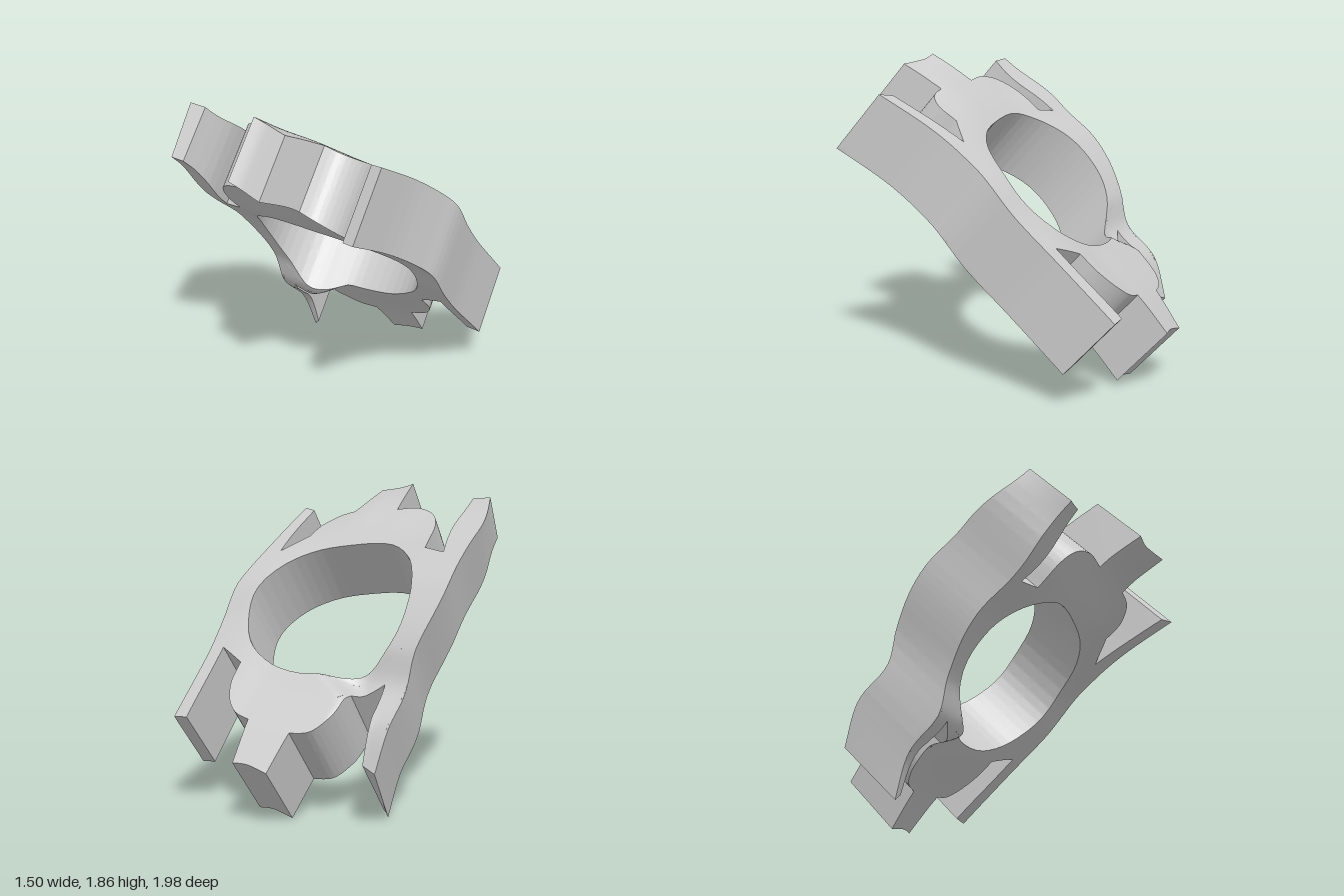
import * as THREE from 'three';
import { toCreasedNormals } from 'three/addons/utils/BufferGeometryUtils.js';

const { smoothstep, lerp } = THREE.MathUtils;

// Outline in the plate's own plane (x across, u along). Each run is a smooth
// curve; the runs meet in sharp corners.
const RUNS = [
  [[-0.01, 1.145], [0.06, 1.125], [0.12, 1.125], [0.235, 1.135]],             // upper tab end
  [[0.235, 1.135], [0.26, 0.83]],
  [[0.26, 0.83], [0.36, 0.79], [0.43, 0.68], [0.44, 0.55]],                   // upper lobe
  [[0.44, 0.55], [0.57, 0.38]],
  [[0.57, 0.38], [0.6, 0.6], [0.63, 0.87]],                                   // left bar, upper
  [[0.63, 0.87], [0.72, 0.9]],
  [[0.72, 0.9], [0.69, 0.5], [0.695, 0.2], [0.7, 0], [0.655, -0.25], [0.61, -0.5], [0.56, -0.95]],
  [[0.56, -0.95], [0.47, -0.94]],
  [[0.47, -0.94], [0.53, -0.42]],                                             // left bar, lower
  [[0.53, -0.42], [0.35, -0.5]],
  [[0.35, -0.5], [0.33, -0.64], [0.27, -0.76], [0.19, -0.83], [0.09, -0.85]], // lower lobe
  [[0.09, -0.85], [0.05, -1.12]],
  [[0.05, -1.12], [-0.04, -1.105], [-0.17, -1.12]],                           // lower tab end
  [[-0.17, -1.12], [-0.19, -0.865]],
  [[-0.19, -0.865], [-0.31, -0.82], [-0.38, -0.68], [-0.39, -0.51]],
  [[-0.39, -0.51], [-0.53, -0.37]],
  [[-0.53, -0.37], [-0.56, -0.6], [-0.585, -0.84]],                           // right bar, lower
  [[-0.585, -0.84], [-0.675, -0.87]],
  [[-0.675, -0.87], [-0.69, -0.55], [-0.67, -0.25], [-0.71, 0.02], [-0.72, 0.2], [-0.7, 0.45], [-0.7, 0.75], [-0.635, 1.01]],
  [[-0.635, 1.01], [-0.52, 1.0]],
  [[-0.52, 1.0], [-0.51, 0.75], [-0.56, 0.49]],                               // right bar, upper
  [[-0.56, 0.49], [-0.42, 0.52]],
  [[-0.42, 0.52], [-0.4, 0.7], [-0.33, 0.82], [-0.2, 0.87], [-0.055, 0.85]],
  [[-0.055, 0.85], [-0.01, 1.145]],
];

// Round opening with one flattened side, counter-clockwise
const HOLE = [
  [0.45, 0.26], [0.3, 0.41], [0.1, 0.49], [-0.18, 0.53], [-0.34, 0.44], [-0.45, 0.28],
  [-0.51, 0.1], [-0.515, -0.12], [-0.41, -0.32], [-0.26, -0.41], [-0.1, -0.47], [0.13, -0.465],
  [0.34, -0.37], [0.47, -0.2], [0.53, 0],
];

// Smooth curve of a value along u, through [u, value]
const profile = (points) => {
  const curve = new THREE.CubicInterpolant(points.map((p) => p[0]), points.map((p) => p[1]), 1, [0]);
  return (u) => curve.evaluate(u)[0];
};

// Height of the curved mid-surface at both sides and the middle, and its sideways slope there
const rightSide = profile([[-0.88, -0.255], [-0.64, -0.13], [-0.36, -0.11], [-0.18, 0], [0.2, 0.09], [0.5, 0.08], [1.0, 0.08]]);
const middle = profile([[-1.13, 0.005], [-0.86, 0.04], [-0.48, 0.045], [0, 0.08], [0.5, 0.09], [0.86, 0.09], [1.15, 0.038]]);
const leftSide = profile([[-0.95, 0.11], [-0.2, 0.13], [0.07, 0.165], [0.3, 0.145], [0.55, 0.1], [0.9, 0.01]]);
const tilt = profile([[-1.13, 0.2], [-0.5, 0.13], [0.1, 0.08], [0.55, 0.06], [0.85, 0], [1.14, -0.22]]);

function bend(x, u) {
  const centre = middle(u) + tilt(u) * x;
  if (x > 0) return lerp(centre, leftSide(u), smoothstep(x, 0.12, 0.6));
  const ring = smoothstep(u, -0.6, -0.4);
  return lerp(centre, rightSide(u), smoothstep(-x, lerp(0.35, 0.1, ring), lerp(0.6, 0.43, ring)));
}

// The upper lobe, tab and right bar thin out towards their ends
function thickness(x, u) {
  const loss = x < -0.45 ? 0.1 : x < 0.5 ? 0.06 : 0;
  return 0.44 - loss * smoothstep(u, 0.55, 0.95);
}

// Split the longest edge of every triangle until it is short enough to bend
function refine(geometry, maxEdge) {
  const pos = geometry.attributes.position, out = [], stack = [];
  const point = (i) => new THREE.Vector3().fromBufferAttribute(pos, i);
  for (let i = 0; i < pos.count; i += 3) stack.push([point(i), point(i + 1), point(i + 2)]);
  while (stack.length) {
    const [a, b, c] = stack.pop();
    const ab = a.distanceTo(b), bc = b.distanceTo(c), ca = c.distanceTo(a);
    const longest = Math.max(ab, bc, ca);
    if (longest <= maxEdge) {
      for (const p of [a, b, c]) out.push(p.x, p.y, p.z);
      continue;
    }
    const [p, q, r] = longest === ab ? [a, b, c] : longest === bc ? [b, c, a] : [c, a, b];
    const m = p.clone().add(q).multiplyScalar(0.5);
    stack.push([p, m, r], [m, q, r]);
  }
  const fine = new THREE.BufferGeometry();
  fine.setAttribute('position', new THREE.Float32BufferAttribute(out, 3));
  return fine;
}

export function createModel() {
  const outline = [];
  for (const run of RUNS) {
    const steps = run.length === 2 ? 1 : (run.length - 1) * 4;
    const curve = new THREE.SplineCurve(run.map(([x, u]) => new THREE.Vector2(x, u)));
    outline.push(...curve.getPoints(steps).slice(0, -1));
  }
  const shape = new THREE.Shape(outline);
  const loop = new THREE.CatmullRomCurve3(HOLE.map(([x, u]) => new THREE.Vector3(x, u, 0)), true);
  shape.holes.push(new THREE.Path(loop.getPoints(54).slice(0, -1).map((p) => new THREE.Vector2(p.x, p.y))));

  const depth = 0.44;
  const slab = new THREE.ExtrudeGeometry(shape, { depth, bevelEnabled: false });
  const geometry = refine(slab, 0.04);

  // Bend the slab, draw in the right bar's underside, then tilt it up towards the front
  const pos = geometry.attributes.position;
  for (let i = 0; i < pos.count; i++) {
    const x = pos.getX(i), u = pos.getY(i), down = pos.getZ(i) / depth;
    const n = bend(x, u) + thickness(x, u) * (0.5 - down);
    const inset = 0.06 * down * smoothstep(-x, 0.58, 0.7);
    pos.setXYZ(i, x + inset - 0.12 * n, 0.93 + 0.66 * u + 0.75 * n, 0.75 * u - 0.66 * n);
  }

  const plate = new THREE.Mesh(
    toCreasedNormals(geometry, 0.7),
    new THREE.MeshStandardMaterial({ color: 0xcccccc }),
  );
  plate.name = 'ringPlateWithBarsAndTabs';

  // Centre on x and z and stand on the ground
  const box = new THREE.Box3().setFromObject(plate);
  const centre = box.getCenter(new THREE.Vector3());
  plate.position.set(-centre.x, -box.min.y, -centre.z);

  const group = new THREE.Group();
  group.name = 'tiltedRing';
  group.add(plate);
  return group;
}
